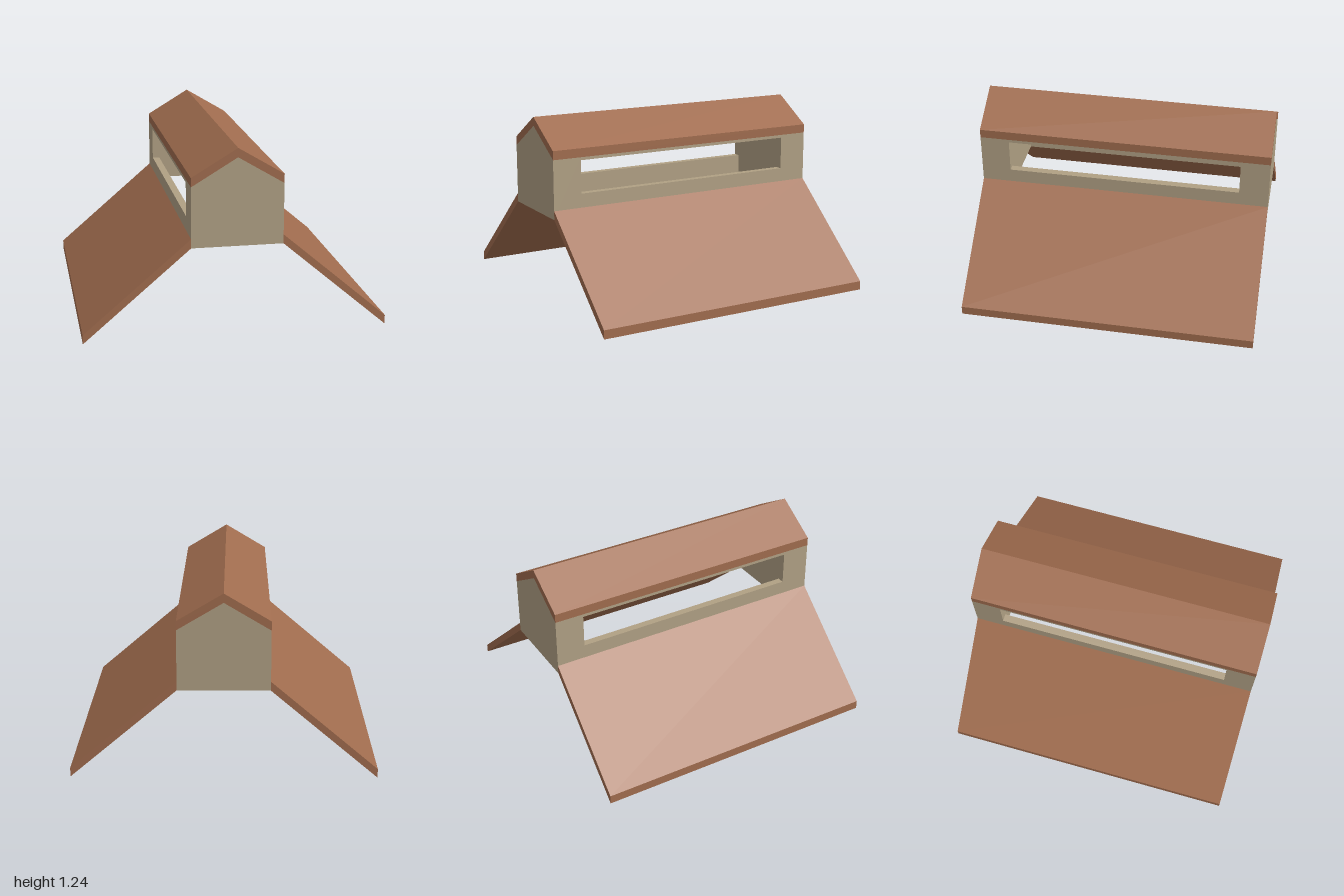
import * as THREE from 'three';

const clay = new THREE.MeshStandardMaterial({ color: 0xa06c4e });
const plaster = new THREE.MeshStandardMaterial({ color: 0xb0a084 });

// Extrude an x-y profile along z, from z0 to z1
function prism(name, points, z0, z1, material) {
  const shape = new THREE.Shape(points.map(([x, y]) => new THREE.Vector2(x, y)));
  const geometry = new THREE.ExtrudeGeometry(shape, { depth: z1 - z0, bevelEnabled: false });
  geometry.translate(0, 0, z0);
  const mesh = new THREE.Mesh(geometry, material);
  mesh.name = name;
  return mesh;
}

export function createModel() {
  const group = new THREE.Group();
  group.name = 'roofLantern';

  const half = 0.3, inner = 0.25;      // outer and inner faces of the side walls
  const base = 0.6, eave = 1.0, ridge = 1.18, thick = 0.06;
  const end = 0.8;                     // inner face of the gable blocks
  const sillTop = 0.755, headBottom = 0.98;
  const innerEave = eave + (ridge - eave) * (half - inner) / half;

  // Gable blocks at both ends
  const gable = [[-half, base], [half, base], [half, eave], [0, ridge], [-half, eave]];
  group.add(prism('frontGable', gable, end, 1, plaster));
  group.add(prism('backGable', gable, -1, -end, plaster));

  // Peaked cap roof
  group.add(prism('capRoof', [
    [-half, eave], [0, ridge], [half, eave],
    [half, eave + thick], [0, ridge + thick], [-half, eave + thick],
  ], -1, 1, clay));

  for (const [side, s] of [['left', 1], ['right', -1]]) {
    const mirror = (points) => points.map(([x, y]) => [s * x, y]);

    // Low wall and header around the long opening
    group.add(prism(side + 'Sill', mirror([
      [inner, base], [half, base], [half, sillTop], [inner, sillTop],
    ]), -end, end, plaster));
    group.add(prism(side + 'Header', mirror([
      [inner, headBottom], [half, headBottom], [half, eave], [inner, innerEave],
    ]), -end, end, plaster));

    // Sloping lower roof
    group.add(prism(side + 'LowerRoof', mirror([
      [half, base], [1, 0], [1, thick], [half, base + thick],
    ]), -1, 1, clay));
  }
  return group;
}
